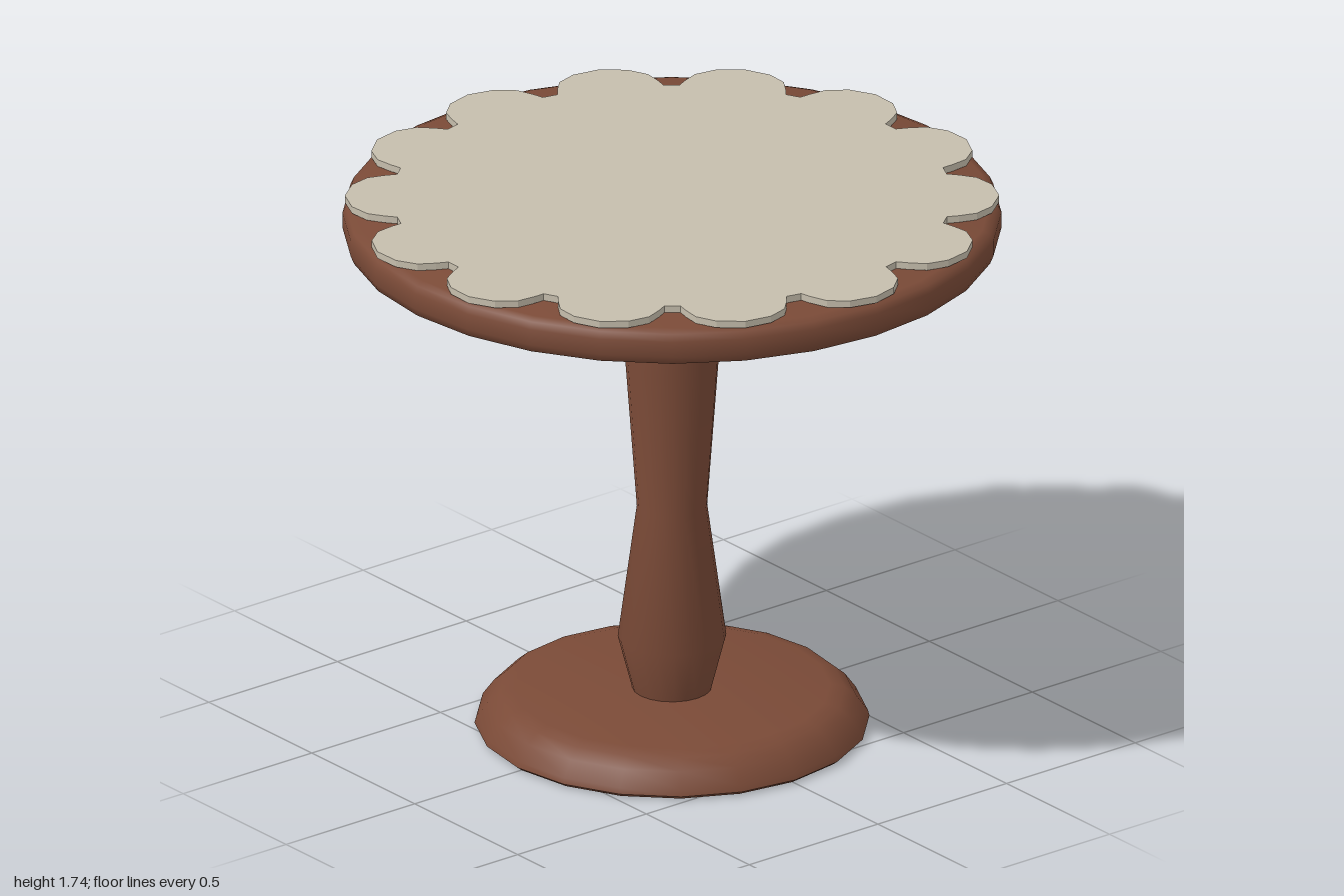
import * as THREE from 'three';
import { toCreasedNormals } from 'three/addons/utils/BufferGeometryUtils.js';

// Turned part from [radius, height] pairs, listed bottom to top
function turned(name, profile, sides, material, crease) {
  const points = profile.map(([r, y]) => new THREE.Vector2(r, y));
  const geometry = toCreasedNormals(new THREE.LatheGeometry(points, sides), crease);
  const mesh = new THREE.Mesh(geometry, material);
  mesh.name = name;
  return mesh;
}

// Scalloped outline: one lobe in [degrees, radius], repeated around the circle
function scallopedShape(lobes) {
  const lobe = [
    [-11.2, 0.85], [-10.2, 0.885], [-8.5, 0.935], [-5, 0.975], [0, 0.993],
    [5, 0.975], [8.5, 0.935], [10.2, 0.885], [11.2, 0.85],
  ];
  const points = [];
  for (let i = 0; i < lobes; i++) {
    for (const [deg, r] of lobe) {
      const a = (i / lobes) * Math.PI * 2 + THREE.MathUtils.degToRad(deg);
      points.push(new THREE.Vector2(Math.cos(a) * r, Math.sin(a) * r));
    }
  }
  return new THREE.Shape(points);
}

export function createModel() {
  const wood = new THREE.MeshStandardMaterial({ color: 0x7a4a37 });
  wood.name = 'brown wood';
  const linen = new THREE.MeshStandardMaterial({ color: 0xc5bdac });
  linen.name = 'pale linen';

  const table = new THREE.Group();
  table.name = 'roundTable';

  // Foot disc with a rounded shoulder
  table.add(turned('base', [
    [0, 0], [0.585, 0], [0.6, 0.012], [0.595, 0.03], [0.56, 0.078],
    [0.525, 0.108], [0.48, 0.12], [0, 0.12],
  ], 20, wood, 1));

  // Turned column with two swellings and a flared collar
  table.add(turned('column', [
    [0.12, 0.115], [0.165, 0.29], [0.107, 0.72], [0.142, 1.2],
    [0.12, 1.57], [0.165, 1.602],
  ], 20, wood, 1));

  // Round top with softened rims
  table.add(turned('tableTop', [
    [0, 1.6], [0.965, 1.6], [0.99, 1.61], [1, 1.635], [1, 1.685],
    [0.99, 1.707], [0.965, 1.717], [0, 1.717],
  ], 28, wood, 1));

  // Thin scalloped cloth lying on the top
  const clothGeometry = new THREE.ExtrudeGeometry(scallopedShape(14), { depth: 0.022, bevelEnabled: false });
  clothGeometry.rotateX(-Math.PI / 2);
  const cloth = new THREE.Mesh(clothGeometry, linen);
  cloth.name = 'tablecloth';
  cloth.position.y = 1.719;
  table.add(cloth);

  return table;
}
